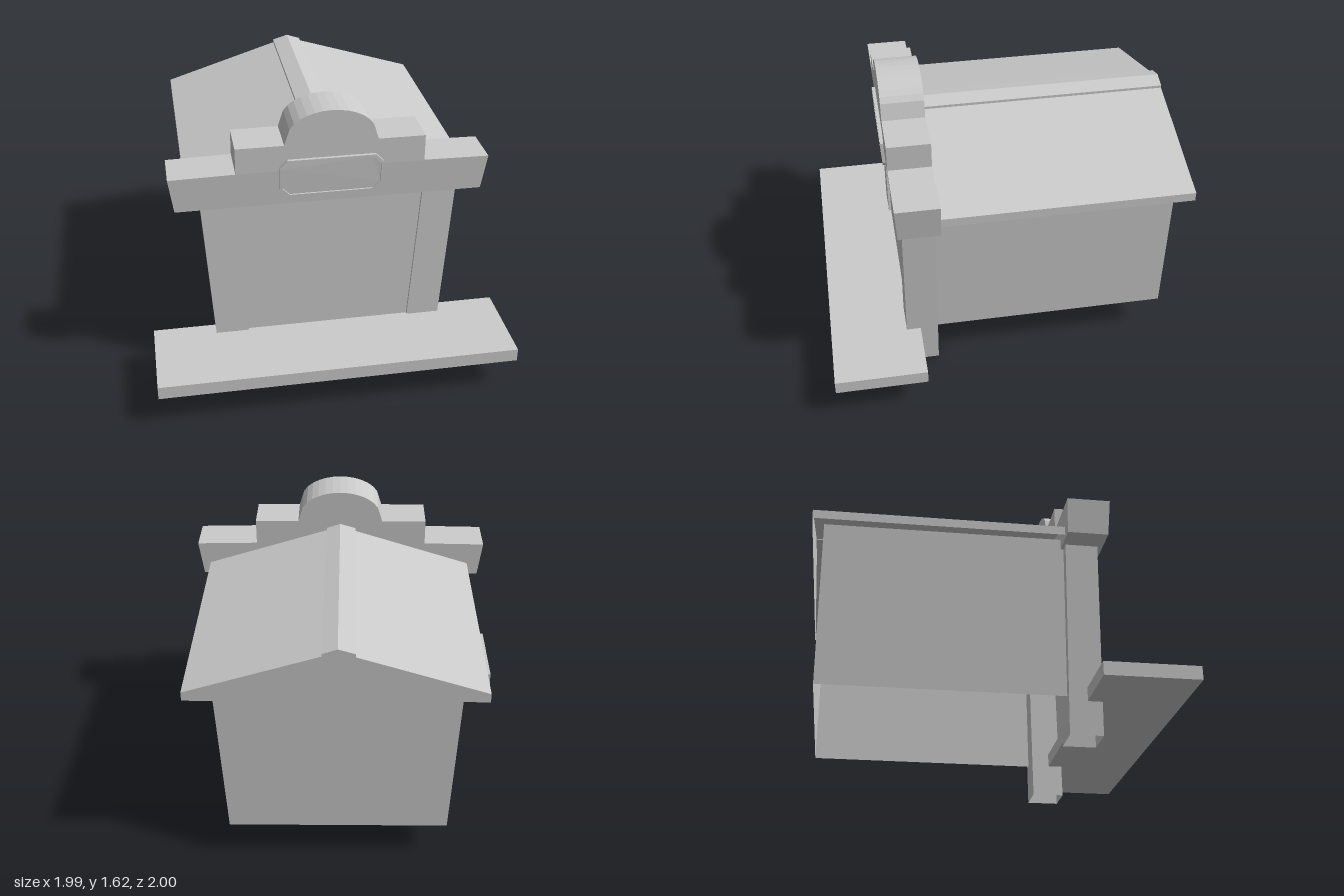
import * as THREE from 'three';

const material = new THREE.MeshStandardMaterial({ color: 0xcccccc, side: THREE.DoubleSide });
const smooth = material;
const flat = material.clone();
flat.flatShading = true;

function add(parent, name, geometry, mat = flat) {
  const mesh = new THREE.Mesh(geometry, mat);
  mesh.name = name;
  parent.add(mesh);
  return mesh;
}

// Thin surface made of flat four-cornered panels.
function sheet(quads) {
  const positions = [];
  for (const [a, b, c, d] of quads) positions.push(...a, ...b, ...c, ...a, ...c, ...d);
  const g = new THREE.BufferGeometry();
  g.setAttribute('position', new THREE.Float32BufferAttribute(positions, 3));
  g.computeVertexNormals();
  return g;
}

// Sweeps an open cross-section in x and y along z.
function sweep(points, z0, z1) {
  return points.slice(1).map(([x, y], i) => {
    const [px, py] = points[i];
    return [[px, py, z0], [px, py, z1], [x, y, z1], [x, y, z0]];
  });
}

function extrude(shape, z0, z1) {
  const g = new THREE.ExtrudeGeometry(shape, { depth: z1 - z0, bevelEnabled: false, curveSegments: 12 });
  return g.translate(0, 0, z0);
}

// Rectangle with cut corners.
function plaque(w, y0, y1, c) {
  return [
    [-w + c, y0], [w - c, y0], [w, y0 + c], [w, y1 - c],
    [w - c, y1], [-w + c, y1], [-w, y1 - c], [-w, y0 + c],
  ].map(([x, y]) => new THREE.Vector2(x, y));
}

// Leans front faces back slightly towards the bottom.
function lean(g) {
  const p = g.attributes.position;
  for (let i = 0; i < p.count; i++) {
    if (p.getZ(i) > 0.5) p.setZ(i, p.getZ(i) - Math.max(0, 1.29 - p.getY(i)) * 0.06);
  }
  g.computeVertexNormals();
  return g;
}

export function createModel() {
  const model = new THREE.Group();
  model.name = 'building';

  // Porch floor
  add(model, 'porchDeck', new THREE.BoxGeometry(1.99, 0.075, 0.51)).position.set(-0.003, 0.2235, 0.745);

  // Hollow, tapering body, open underneath
  const b = 0.6, t = 0.645, y0 = 0.225, y1 = 1.15, back = -0.94, front = 0.5;
  const walls = [[[b, y0, back], [-b, y0, back], [-t, y1, back], [t, y1, back]]];
  for (const s of [1, -1]) {
    walls.push([[s * b, y0, front], [s * b, y0, back], [s * t, y1, back], [s * t, y1, front]]);
  }
  add(model, 'walls', sheet(walls));
  add(model, 'frontPanel', sheet([[[-0.5, y0, 0.555], [0.5, y0, 0.555], [0.56, 1.11, 0.555], [-0.56, 1.11, 0.555]]]));

  // Leaning front posts, open at the foot
  for (const s of [1, -1]) {
    const foot = [[0.445, 0.39], [0.63, 0.39], [0.63, 0.57], [0.445, 0.57]];
    const quads = foot.map(([x, z], i) => {
      const [nx, nz] = foot[(i + 1) % 4];
      return [[s * x, 0, z], [s * nx, 0, nz], [s * (nx + 0.07), 1.1, nz], [s * (x + 0.07), 1.1, z]];
    });
    add(model, s > 0 ? 'leftPost' : 'rightPost', sheet(quads));
  }

  // Gabled roof, open underneath, with a closed back gable
  const roof = [[-0.77, 1.11], [-0.77, 1.16], [0, 1.405], [0.79, 1.16], [0.79, 1.11]];
  add(model, 'roof', sheet(sweep(roof, -1, 0.375)));
  const gable = new THREE.ShapeGeometry(new THREE.Shape(roof.map(([x, y]) => new THREE.Vector2(x, y))));
  add(model, 'backGable', gable.translate(0, 0, -1));
  const cap = [[-0.09, 1.37], [-0.09, 1.395], [-0.03, 1.422], [0.025, 1.422], [0.08, 1.395], [0.08, 1.37]];
  const ridge = new THREE.Shape([[-0.09, 1.37], [-0.09, 1.395], [0, 1.422], [0.08, 1.395], [0.08, 1.37]]
    .map(([x, y]) => new THREE.Vector2(x, y)));
  add(model, 'ridgeCap', extrude(ridge, -1, 0.375));

  // Stepped false front with a rounded crown
  const p = new THREE.Shape();
  p.moveTo(-0.835, 1.09);
  p.lineTo(0.83, 1.09);
  p.lineTo(0.858, 1.288);
  p.lineTo(0.503, 1.294);
  p.lineTo(0.503, 1.44);
  p.lineTo(0.25, 1.44);
  p.lineTo(0.222, 1.53);
  p.bezierCurveTo(0.14, 1.655, -0.14, 1.655, -0.222, 1.53);
  p.lineTo(-0.25, 1.44);
  p.lineTo(-0.508, 1.44);
  p.lineTo(-0.508, 1.294);
  p.lineTo(-0.862, 1.288);
  p.closePath();
  add(model, 'falseFront', lean(extrude(p, 0.375, 0.612)), smooth);

  // Framed blank sign
  const sign = new THREE.Group();
  sign.name = 'sign';
  const frame = new THREE.Shape(plaque(0.28, 1.14, 1.358, 0.045));
  frame.holes.push(new THREE.Path(plaque(0.265, 1.152, 1.345, 0.042)));
  add(sign, 'signFrame', lean(extrude(frame, 0.59, 0.63)));
  add(sign, 'signBoard', lean(extrude(new THREE.Shape(plaque(0.265, 1.152, 1.345, 0.042)), 0.59, 0.62)));
  model.add(sign);

  return model;
}
